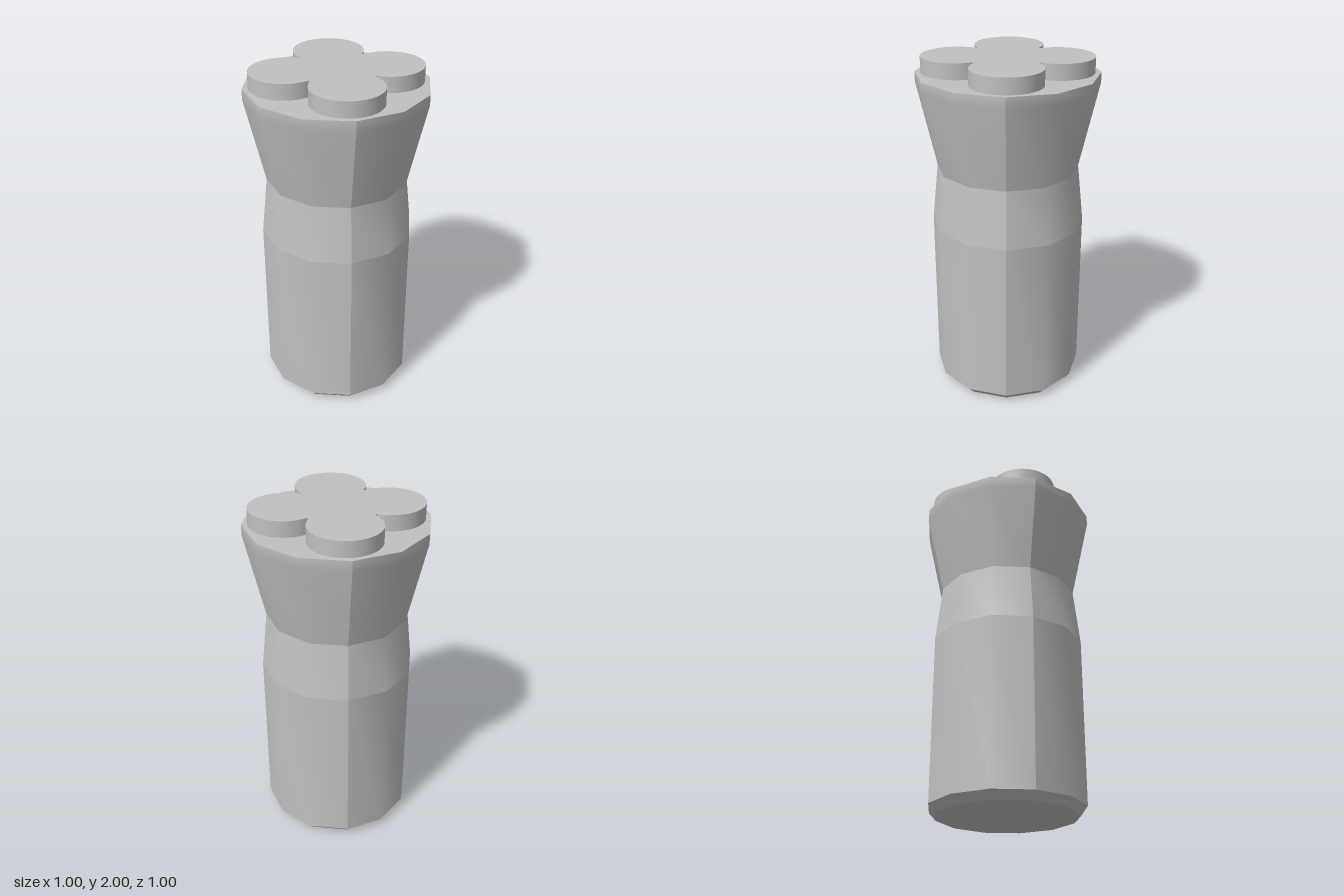
import * as THREE from 'three';
import { toCreasedNormals } from 'three/addons/utils/BufferGeometryUtils.js';

const grey = new THREE.MeshStandardMaterial({ color: 0xc0c0c0 });
grey.name = 'plain grey';

// Half-width across the flats -> corner radius of the twelve-sided section
const corner = (half) => half / Math.cos(Math.PI / 12);

// Twelve-sided ring made of four softly shaded sides with sharp diagonal edges
function ring(name, profile) {
  const group = new THREE.Group();
  group.name = name;
  const points = profile.map(([half, y]) => new THREE.Vector2(corner(half), y));
  for (let i = 0; i < 4; i++) {
    const geo = new THREE.LatheGeometry(points, 3, Math.PI / 4 + i * Math.PI / 2, Math.PI / 2);
    geo.computeVertexNormals();
    const side = new THREE.Mesh(geo, grey);
    side.name = name + 'Side';
    group.add(side);
  }
  return group;
}

// Flat twelve-sided lid facing up or down
function cap(name, half, y, up) {
  const geo = new THREE.CircleGeometry(corner(half), 12, Math.PI / 12);
  geo.rotateX(up ? -Math.PI / 2 : Math.PI / 2);
  geo.translate(0, y, 0);
  const mesh = new THREE.Mesh(geo, grey);
  mesh.name = name;
  return mesh;
}

// Four-lobed raised plate
function clover() {
  const shape = new THREE.Shape();
  const r = 0.2, notch = Math.asin(0.25);
  for (let i = 0; i < 4; i++) {
    const turn = i * Math.PI / 2, mid = turn + Math.PI / 4;
    const cx = Math.SQRT2 * r * Math.cos(mid), cy = Math.SQRT2 * r * Math.sin(mid);
    const start = [0.25 * Math.cos(turn), 0.25 * Math.sin(turn)];
    if (i === 0) shape.moveTo(...start);
    else shape.lineTo(...start);
    shape.absarc(cx, cy, r, turn - Math.PI / 2 + notch, turn + Math.PI - notch, false);
  }
  shape.closePath();
  const geo = new THREE.ExtrudeGeometry(shape, { depth: 0.09, bevelEnabled: false, curveSegments: 24 });
  geo.rotateX(-Math.PI / 2);
  geo.translate(0, 1.91, 0);
  const mesh = new THREE.Mesh(toCreasedNormals(geo, 0.6), grey);
  mesh.name = 'cloverTop';
  return mesh;
}

export function createModel() {
  const model = new THREE.Group();
  model.name = 'flaredPost';
  model.add(
    cap('base', 0.39, 0, false),
    ring('baseBevel', [[0.39, 0], [0.43, 0.045]]),
    ring('body', [[0.43, 0.045], [0.43, 1.025]]),
    ring('waist', [[0.43, 1.025], [0.395, 1.36]]),
    ring('flaredHead', [[0.395, 1.36], [0.5, 1.85], [0.5, 1.91]]),
    cap('headTop', 0.5, 1.91, true),
    clover()
  );
  return model;
}
